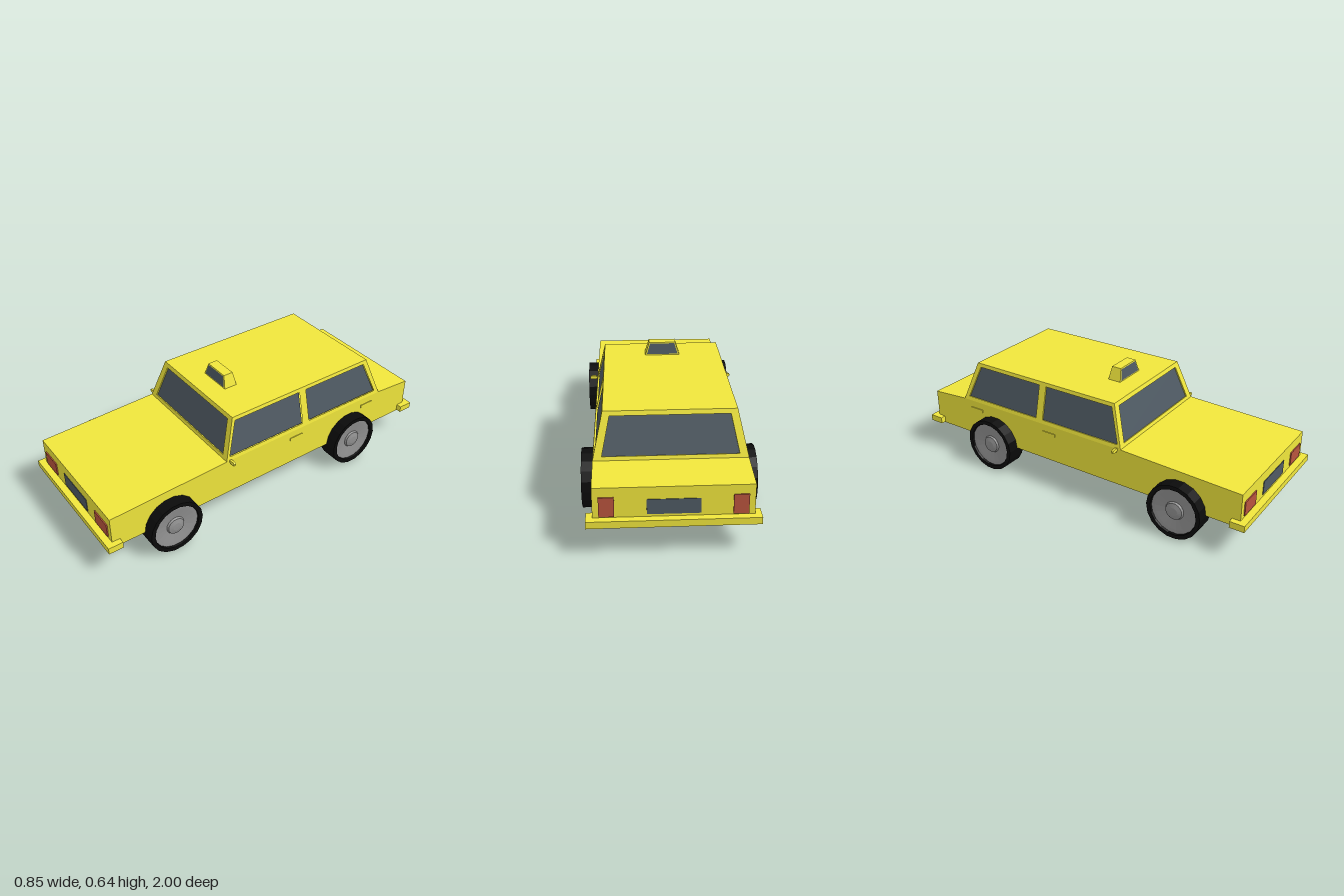
import * as THREE from 'three';

const mat = (color) => new THREE.MeshStandardMaterial({ color, flatShading: true });

export function createModel() {
  const car = new THREE.Group();
  car.name = 'cab';
  const yellow = mat(0xf0e63c), glass = mat(0x4f5a63), red = mat(0xb8543e);
  const black = mat(0x0b0b0b), grey = mat(0x919191);

  const add = (name, geometry, material) => {
    const mesh = new THREE.Mesh(geometry, material);
    mesh.name = name;
    car.add(mesh);
    return mesh;
  };
  // Box given by its lower and upper limits
  const box = (name, material, [x0, x1], [y0, y1], [z0, z1]) => {
    const mesh = add(name, new THREE.BoxGeometry(Math.abs(x1 - x0), y1 - y0, Math.abs(z1 - z0)), material);
    mesh.position.set((x0 + x1) / 2, (y0 + y1) / 2, (z0 + z1) / 2);
    return mesh;
  };
  const shape = (pts) => new THREE.Shape(pts.map(([x, y]) => new THREE.Vector2(x, y)));
  const trapezoid = (a0, a1, y0, b0, b1, y1) => [[a0, y0], [a1, y0], [b1, y1], [b0, y1]];

  // Lower body: side profile (z, y) extruded across the width
  const W = 0.363;
  const body = new THREE.ExtrudeGeometry(shape([
    [-0.965, 0.15], [0.965, 0.15], [0.965, 0.333], [0.3, 0.355], [-0.745, 0.355], [-0.965, 0.34],
  ]), { depth: 2 * W, bevelEnabled: false });
  body.translate(0, 0, -W).rotateY(-Math.PI / 2);
  body.scale(-1, 1, -1).rotateY(Math.PI); // keep the profile's +z at the front
  // the rotation sends profile x to +z; the scale and turn cancel out
  add('body', body, yellow);

  // Sloping cabin wall with recessed glass; shapes use (along u, height above the belt line)
  const BELT = 0.355, H = 0.217;
  const wall = (name, origin, u, lean, outer, windows) => {
    const up = lean.clone().setY(1);
    const normal = u.clone().cross(up).normalize();
    const frame = new THREE.Matrix4().makeBasis(u, up, normal).setPosition(origin);
    const outline = shape(outer);
    outline.holes = windows.map(shape);
    const geo = new THREE.ExtrudeGeometry(outline, { depth: 0.012, bevelEnabled: false });
    add(name + 'Frame', geo.translate(0, 0, -0.012).applyMatrix4(frame), yellow);
    windows.forEach((w) => {
      const pane = new THREE.ShapeGeometry(shape(w)).translate(0, 0, -0.007);
      add(name + 'Glass', pane.applyMatrix4(frame), glass);
    });
  };
  const V = (x, y, z) => new THREE.Vector3(x, y, z);
  const endOuter = trapezoid(-W, W, 0, -0.313, 0.313, H);
  const endWindow = trapezoid(-0.32, 0.32, 0.018, -0.281, 0.281, 0.195);
  wall('windshield', V(0, BELT, 0.3), V(1, 0, 0), V(0, 0, -0.07 / H), endOuter, [endWindow]);
  wall('rearWindow', V(0, BELT, -0.745), V(-1, 0, 0), V(0, 0, 0.075 / H), endOuter, [endWindow]);
  for (const s of [1, -1]) {
    const flip = (pts) => pts.map(([z, y]) => [-s * z, y]);
    wall(s > 0 ? 'leftSide' : 'rightSide', V(s * W, BELT, 0), V(0, 0, -s), V(-s * 0.05 / H, 0, 0),
      flip(trapezoid(-0.745, 0.3, 0, -0.67, 0.23, H)), [
        flip(trapezoid(-0.195, 0.278, 0.02, -0.195, 0.217, 0.197)),
        flip(trapezoid(-0.712, -0.238, 0.02, -0.647, -0.238, 0.197)),
      ]);
  }
  box('roof', yellow, [-0.313, 0.313], [0.56, 0.572], [-0.67, 0.23]);

  // Roof sign: tapered box with a dark panel front and back
  const sign = new THREE.BoxGeometry(0.184, 0.068, 0.074);
  const p = sign.attributes.position;
  for (let i = 0; i < p.count; i++) {
    if (p.getY(i) > 0) p.setXYZ(i, p.getX(i) * 0.77, p.getY(i), p.getZ(i) * 0.73);
  }
  add('roofSign', sign, yellow).position.set(0, 0.606, 0.082);
  for (const s of [1, -1]) {
    const panel = new THREE.ShapeGeometry(shape(trapezoid(-0.083, 0.083, -0.029, -0.066, 0.066, 0.029)));
    const mesh = add('signPanel', panel, glass);
    mesh.position.set(0, 0.606, 0.082 + s * 0.0335);
    mesh.rotation.order = 'YXZ';
    mesh.rotation.set(-0.146, s > 0 ? 0 : Math.PI, 0);
  }

  // Bumpers with wrapped ends, number plates and lights
  for (const s of [1, -1]) {
    const end = s > 0 ? 'front' : 'rear';
    const z = [s * 0.96, s * 0.971];
    box(end + 'Bumper', yellow, [-0.393, 0.393], [0.155, 0.19], [s * 0.965, s]);
    box(end + 'Plate', glass, [-0.121, 0.121], [0.203, 0.278], [s * 0.96, s * 0.968]);
    for (const side of [1, -1]) {
      box(end + 'BumperEnd', yellow, [side * 0.36, side * 0.393], [0.155, 0.19], [s * 0.922, s * 0.966]);
      if (s > 0) box('frontLight', red, [side * 0.21, side * 0.332], [0.203, 0.278], z);
      else box('rearLight', red, [side * 0.265, side * 0.335], [0.195, 0.293], z);
    }
  }

  // Wheels: lathed tyre and dished rim with a hub
  const lathe = (pts, n) => new THREE.LatheGeometry(pts.map(([r, y]) => new THREE.Vector2(r, y)), n)
    .rotateZ(-Math.PI / 2);
  const tyre = lathe([[0, -0.055], [0.148, -0.055], [0.148, 0.055], [0.126, 0.055], [0.122, 0.035]], 18);
  const rim = lathe([[0.124, 0.044], [0.105, 0.042], [0.05, 0.034], [0.045, 0.044], [0.022, 0.05], [0, 0.051]], 18);
  for (const s of [1, -1]) {
    for (const z of [0.64, -0.526]) {
      for (const [name, geo, m] of [['tyre', tyre, black], ['rim', rim, grey]]) {
        const mesh = add(name, geo, m);
        mesh.position.set(s * 0.37, 0.148, z);
        mesh.rotation.y = s > 0 ? 0 : Math.PI;
      }
    }
    // Door handles
    for (const z of [-0.15, -0.655]) {
      box('doorHandle', yellow, [s * 0.36, s * 0.367], [0.3, 0.316], [z - 0.04, z + 0.04]);
    }
    // Side mirror on a short stalk
    const mirror = new THREE.ExtrudeGeometry(shape([
      [0.355, 0.347], [0.368, 0.347], [0.374, 0.343], [0.396, 0.343], [0.404, 0.348],
      [0.404, 0.358], [0.396, 0.363], [0.374, 0.363], [0.368, 0.359], [0.355, 0.359],
    ].map(([x, y]) => [s * x, y])), { depth: 0.012, bevelEnabled: false });
    add('sideMirror', mirror.translate(0, 0, 0.272), yellow);
  }
  return car;
}
